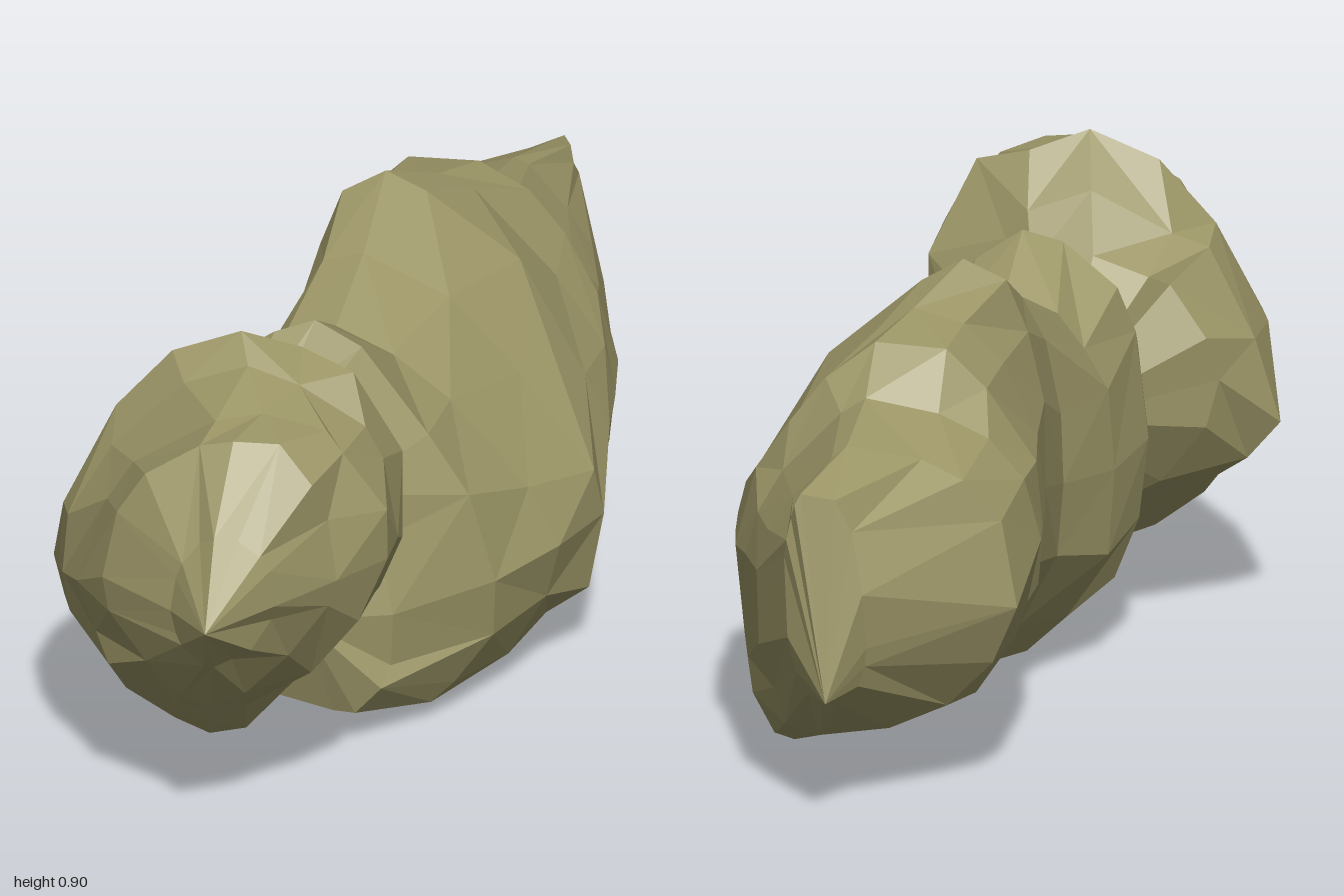
import * as THREE from 'three';

// Each section runs front to back: [z, left x, left y, right x, right y, bottom y, bottom x, top y, top x]
const headSections = [
  [1.0, -0.12, 0.54, -0.12, 0.54, 0.54, -0.12, 0.54, -0.12],
  [0.87, -0.2, 0.52, -0.01, 0.54, 0.41, -0.12, 0.67, -0.12],
  [0.75, -0.34, 0.52, 0.09, 0.54, 0.27, -0.14, 0.81, -0.1],
  [0.65, -0.4, 0.46, 0.17, 0.54, 0.19, -0.15, 0.82, -0.06],
  [0.54, -0.44, 0.42, 0.175, 0.53, 0.11, -0.17, 0.86, -0.1],
  [0.48, -0.455, 0.4, 0.175, 0.5, 0.17, -0.16, 0.9, -0.12],
  [0.39, -0.475, 0.38, 0.09, 0.45, 0.19, -0.14, 0.81, -0.13],
  [0.31, -0.37, 0.48, 0.07, 0.42, 0.22, -0.12, 0.71, -0.14],
  [0.12, -0.08, 0.45, -0.08, 0.45, 0.45, -0.08, 0.45, -0.08],
];
const bodySections = [
  [0.4, -0.02, 0.28, -0.02, 0.28, 0.28, -0.02, 0.28, -0.02],
  [0.34, -0.23, 0.38, 0.14, 0.27, 0.07, 0.03, 0.67, -0.08],
  [0.2, -0.25, 0.4, 0.31, 0.28, 0.01, 0.06, 0.79, -0.02],
  [0.06, -0.2, 0.38, 0.41, 0.29, 0.0, 0.06, 0.71, 0.0],
  [-0.1, -0.12, 0.4, 0.47, 0.28, 0.02, 0.14, 0.78, 0.03],
  [-0.26, -0.1, 0.44, 0.46, 0.38, 0.05, 0.22, 0.87, 0.05],
  [-0.38, -0.11, 0.44, 0.455, 0.38, 0.08, 0.24, 0.81, 0.13],
  [-0.5, -0.115, 0.44, 0.445, 0.39, 0.06, 0.3, 0.78, 0.19],
  [-0.59, -0.12, 0.44, 0.42, 0.4, 0.05, 0.33, 0.7, 0.2],
  [-0.76, -0.09, 0.36, 0.385, 0.42, 0.11, 0.27, 0.66, 0.22],
  [-0.94, 0.17, 0.33, 0.32, 0.5, 0.22, 0.25, 0.62, 0.29],
  [-1.0, 0.24, 0.24, 0.24, 0.24, 0.24, 0.24, 0.24, 0.24],
];

function seeded(seed) {
  return () => {
    seed = (seed * 16807) % 2147483647;
    return seed / 2147483647;
  };
}

// Faceted rock skin through the sections, with the four extremes of each ring kept.
// corners: upper right, upper left, lower left, lower right; below 1 is boxy, above 1 is cut away
function rockGeometry(sections, corners, seed, roughness) {
  const N = 16;
  const rand = seeded(seed);
  const positions = [];
  const index = [];
  const last = sections.length - 1;
  sections.forEach(([z, xl, yl, xr, yr, yb, xb, yt, xt], i) => {
    const isTip = i === 0 || i === last;
    for (let k = 0; k < N; k++) {
      const extreme = k % (N / 4) === 0;
      const free = extreme || isTip ? 0 : 1;
      const t = ((k + free * (rand() - 0.5) * 0.6) / N) * Math.PI * 2;
      const c = Math.cos(t), s = Math.sin(t);
      const power = corners[Math.floor(k / (N / 4))];
      const grow = 1 + free * roughness * (rand() - 0.5);
      const u = Math.pow(Math.abs(c), power) * grow;
      const v = Math.pow(Math.abs(s), power) * grow;
      // Each quarter blends between its side extreme and its top or bottom extreme
      const [sx, sy] = c >= 0 ? [xr, yr] : [xl, yl];
      const [px, py] = s >= 0 ? [xt, yt] : [xb, yb];
      positions.push(
        px + (sx - px) * u,
        sy + (py - sy) * v,
        z + free * (rand() - 0.5) * 0.05,
      );
    }
  });
  for (let i = 0; i < last; i++) {
    for (let k = 0; k < N; k++) {
      const a = i * N + k, b = i * N + ((k + 1) % N);
      const c = a + N, d = b + N;
      if (i === 0) index.push(b, c, d);
      else if (i === last - 1) index.push(a, c, b);
      else if (rand() < 0.5) index.push(a, c, b, b, c, d);
      else index.push(a, c, d, a, d, b);
    }
  }
  const geometry = new THREE.BufferGeometry();
  geometry.setAttribute('position', new THREE.Float32BufferAttribute(positions, 3));
  geometry.setIndex(index);
  const flat = geometry.toNonIndexed();
  flat.computeVertexNormals();
  return flat;
}

export function createModel() {
  const group = new THREE.Group();
  group.name = 'twoLobedRock';
  const stone = new THREE.MeshStandardMaterial({ color: 0x9b9566, flatShading: true });
  stone.name = 'olive stone';

  // Small front lobe, its neck sunk into the large lobe
  const head = new THREE.Mesh(rockGeometry(headSections, [0.85, 1.1, 1.3, 1.4], 71, 0.1), stone);
  head.name = 'smallLobe';

  // Long rear lobe
  const body = new THREE.Mesh(rockGeometry(bodySections, [1.4, 0.85, 0.95, 0.8], 433, 0.08), stone);
  body.name = 'largeLobe';

  group.add(head, body);
  return group;
}
